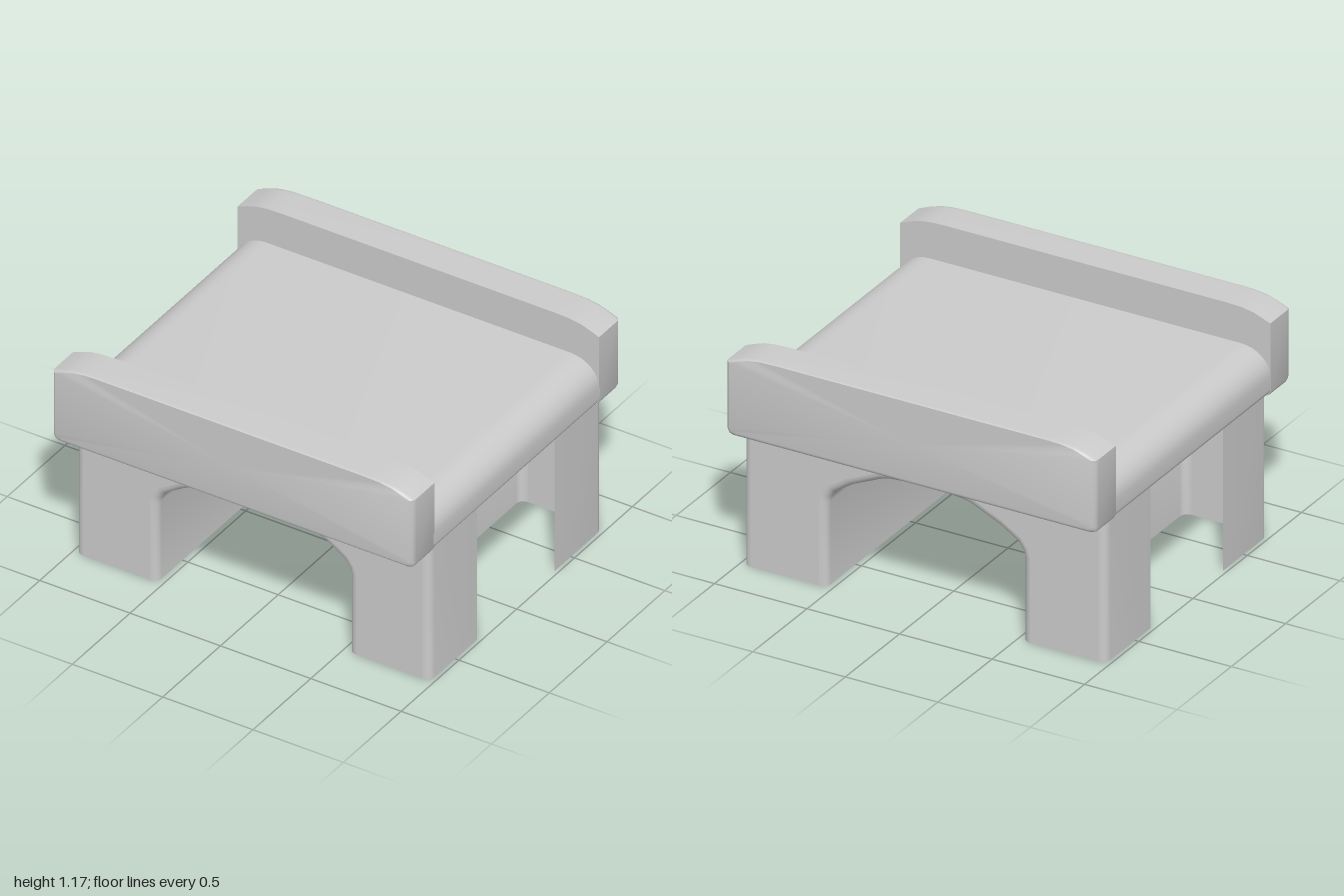
import * as THREE from 'three';
import { toCreasedNormals } from 'three/addons/utils/BufferGeometryUtils.js';

const solid = new THREE.MeshStandardMaterial({ color: 0xcccccc });
const thin = new THREE.MeshStandardMaterial({ color: 0xcccccc, side: THREE.DoubleSide });
const V = (x, y, z) => new THREE.Vector3(x, y, z);

// Surface skinned over rows of points; zero-area triangles are dropped.
function skin(rows, crease = 0.6) {
  const pos = [];
  const tri = (a, b, c) => {
    if (a.distanceTo(b) > 1e-6 && b.distanceTo(c) > 1e-6 && a.distanceTo(c) > 1e-6) {
      for (const p of [a, b, c]) pos.push(p.x, p.y, p.z);
    }
  };
  for (let i = 0; i < rows.length - 1; i++) {
    for (let j = 0; j < rows[i].length - 1; j++) {
      const a = rows[i][j], b = rows[i][j + 1], c = rows[i + 1][j], d = rows[i + 1][j + 1];
      tri(a, b, c);
      tri(b, d, c);
    }
  }
  const geo = new THREE.BufferGeometry();
  geo.setAttribute('position', new THREE.Float32BufferAttribute(pos, 3));
  return toCreasedNormals(geo, crease);
}

function add(parent, name, geo, material) {
  const mesh = new THREE.Mesh(geo, material);
  mesh.name = name;
  parent.add(mesh);
  return mesh;
}

// Quarter-circle steps as [cos, sin]
const quarter = Array.from({ length: 6 }, (_, i) => {
  const a = (i / 5) * Math.PI / 2;
  return [Math.cos(a), Math.sin(a)];
});

// Deck slab with softly rolled ends
function deckGeometry() {
  const s = new THREE.Shape();
  s.moveTo(-0.97, 0.75);
  s.lineTo(0.97, 0.75);
  s.quadraticCurveTo(1, 0.75, 1, 0.78);
  s.lineTo(1, 0.84);
  s.bezierCurveTo(1, 0.92, 0.93, 0.98, 0.84, 0.98);
  s.lineTo(-0.84, 0.98);
  s.bezierCurveTo(-0.93, 0.98, -1, 0.92, -1, 0.84);
  s.lineTo(-1, 0.78);
  s.quadraticCurveTo(-1, 0.75, -0.97, 0.75);
  const geo = new THREE.ExtrudeGeometry(s, { depth: 1.44, bevelEnabled: false, curveSegments: 8 });
  geo.translate(0, 0, -0.72);
  return toCreasedNormals(geo, 0.6);
}

// Parapet: sharp inner face, rounded outer face, sloped top corners
function parapetGeometry() {
  const half = [[0.97, 0.737], [0.99, 0.745], [1, 0.765], [1, 1.125], [0.95, 1.145], [0.9, 1.162], [0.84, 1.171], [0.76, 1.174]];
  const outline = [...half, ...half.map(([x, y]) => [-x, y]).reverse()];
  outline.push(outline[0]);
  const mid = 0.95;
  const ring = (z, inset) => outline.map(([x, y]) =>
    V(x * (1 - inset), mid + (y - mid) * (1 - inset * (y > mid ? 0.05 / 0.22 * 2 : 4)), z));
  const centre = z => outline.map(() => V(0, mid, z));
  const r = 0.03;
  const rows = [centre(0.712), ring(0.712, 0)];
  for (const [c, s] of quarter) rows.push(ring(0.9 - r + r * s, r * (1 - c)));
  rows.push(centre(0.9));
  return skin(rows);
}

// Hollow arched support
const FRONT = 0.72, BACK = -0.77, TOP = 0.76, OUT = 0.98, R = 0.04;

function archPoints() {
  const half = [[0.53, 0], [0.53, 0.44], [0.52, 0.47], [0.495, 0.505], [0.4, 0.565], [0.24, 0.637], [0.2, 0.646], [0.1, 0.655]];
  const pts = [...half, [0, 0.658], ...half.map(([x, y]) => [-x, y]).reverse()];
  // each point with its direction into the masonry
  return pts.map((p, i) => {
    const a = pts[Math.max(i - 1, 0)], b = pts[Math.min(i + 1, pts.length - 1)];
    const n = new THREE.Vector2(b[1] - a[1], a[0] - b[0]).normalize();
    if (p[1] === 0) n.set(Math.sign(p[0]), 0);
    return { x: p[0], y: p[1], n };
  });
}

function buildSupport() {
  const g = new THREE.Group();
  g.name = 'archSupport';
  const arch = archPoints();
  const row = (offset, z) => arch.map(p => V(p.x + p.n.x * offset, p.y + p.n.y * offset, z));

  // Barrel vault, flaring into both end walls
  const rows = [];
  for (const [c, s] of quarter) rows.push(row(R * (1 - s), BACK + R * (1 - c)));
  rows.forEach((_, i) => { rows[i] = row(R * (1 - quarter[i][1]), BACK + R * (1 - quarter[i][0])); });
  for (const [c, s] of [...quarter].reverse()) rows.push(row(R * (1 - s), FRONT - R * (1 - c)));
  add(g, 'archVault', skin(rows, 0.7), thin);

  // End walls with the arch opening
  const opening = row(R, 0).map(p => new THREE.Vector2(p.x, p.y));
  const e = OUT - R;
  const wall = new THREE.Shape([...opening,
    new THREE.Vector2(-e, 0), new THREE.Vector2(-e, TOP),
    new THREE.Vector2(e, TOP), new THREE.Vector2(e, 0)]);
  add(g, 'frontWall', new THREE.ShapeGeometry(wall), thin).position.z = FRONT;
  add(g, 'backWall', new THREE.ShapeGeometry(wall), thin).position.z = BACK;

  // Rounded outer corners and side walls, leaving a gap in the middle
  for (const side of [1, -1]) {
    for (const [name, z, dir, end] of [['frontLegSide', FRONT, 1, 0.31], ['backLegSide', BACK, -1, -0.36]]) {
      const plan = [...quarter].reverse().map(([c, s]) => [e + R * c, z - dir * R * (1 - s)]);
      plan.push([OUT, end]);
      add(g, name, skin([0, TOP].map(y => plan.map(([x, pz]) => V(side * x, y, pz)))), thin);
    }
  }
  return g;
}

export function createModel() {
  const model = new THREE.Group();
  model.name = 'bridge';
  add(model, 'deck', deckGeometry(), solid);
  const parapet = parapetGeometry();
  add(model, 'frontParapet', parapet, solid);
  add(model, 'backParapet', parapet, solid).rotation.y = Math.PI;
  model.add(buildSupport());
  return model;
}
